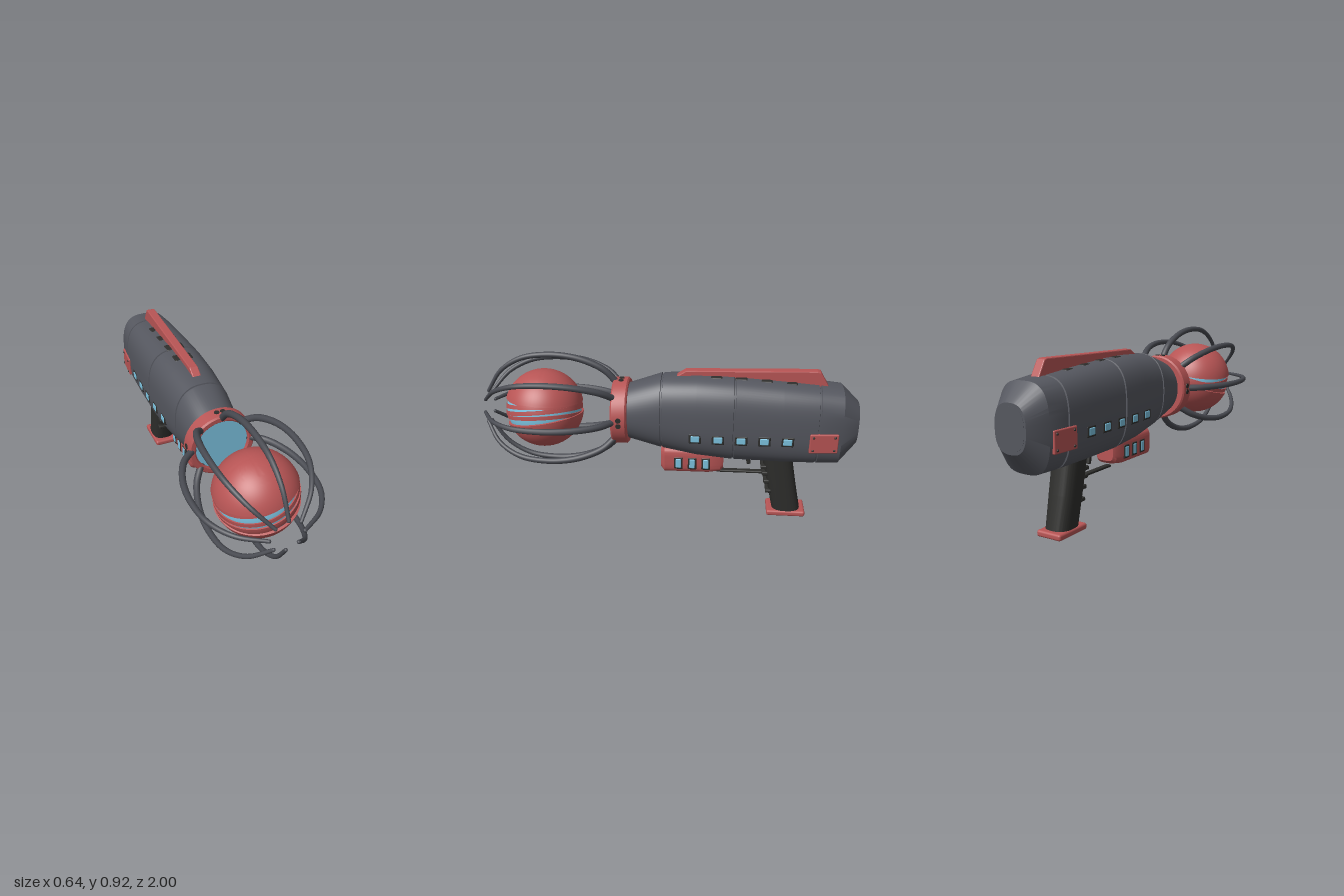
import * as THREE from 'three';
import { toCreasedNormals } from 'three/addons/utils/BufferGeometryUtils.js';
import { RoundedBoxGeometry } from 'three/addons/geometries/RoundedBoxGeometry.js';

const mat = (color) => new THREE.MeshStandardMaterial({ color });
const RED = mat(0xb85555), BODY = mat(0x55575f), CAGE = mat(0x484a51);
const DARK = mat(0x2e2e2c), CYAN = mat(0x7cc3e0);
const rad = THREE.MathUtils.degToRad;
const AXIS = 0.6; // height of the barrel axis

// Body stations: z, top, bottom, half width, roundness exponent
const STATIONS = [
  [0.24, 0.745, 0.455, 0.138, 2], [0.045, 0.81, 0.405, 0.155, 2.4],
  [-0.15, 0.822, 0.372, 0.165, 2.7], [-0.34, 0.82, 0.355, 0.17, 2.8],
  [-0.6, 0.803, 0.35, 0.165, 2.9], [-0.78, 0.788, 0.35, 0.157, 3],
  [-0.91, 0.775, 0.352, 0.146, 3], [-1, 0.69, 0.46, 0.09, 2.6],
];

function stationAt(z) {
  let i = 0;
  while (i < STATIONS.length - 2 && STATIONS[i + 1][0] > z) i++;
  const a = STATIONS[i], b = STATIONS[i + 1], t = (z - a[0]) / (b[0] - a[0]);
  return a.map((v, k) => v + (b[k] - v) * t);
}

// Half width of the body at a given height and depth
function bodyX(y, z) {
  const [, top, bottom, w, n] = stationAt(z);
  const v = Math.abs(y - (top + bottom) / 2) / ((top - bottom) / 2);
  return w * Math.pow(Math.max(0, 1 - Math.pow(v, n)), 1 / n);
}

// Closed loft through superellipse sections, stations running from +z to -z
function loft(stations, sides = 72) {
  const pos = [], idx = [], last = stations.length - 1;
  for (const [z, top, bottom, w, n] of stations) {
    for (let j = 0; j < sides; j++) {
      const a = (j / sides) * Math.PI * 2, c = Math.cos(a), s = Math.sin(a);
      const p = (v) => Math.sign(v) * Math.pow(Math.abs(v), 2 / n);
      pos.push(w * p(c), (top + bottom) / 2 + ((top - bottom) / 2) * p(s), z);
    }
  }
  for (const k of [0, last]) pos.push(0, (stations[k][1] + stations[k][2]) / 2, stations[k][0]);
  const front = (last + 1) * sides;
  for (let j = 0; j < sides; j++) {
    const k = (j + 1) % sides;
    for (let i = 0; i < last; i++) {
      const a = i * sides + j, b = i * sides + k;
      idx.push(a, a + sides, b, b, a + sides, b + sides);
    }
    idx.push(front, j, k, front + 1, last * sides + k, last * sides + j);
  }
  const g = new THREE.BufferGeometry();
  g.setAttribute('position', new THREE.Float32BufferAttribute(pos, 3));
  g.setIndex(idx);
  return toCreasedNormals(g, 0.5);
}

// Thick band of a sphere between two latitudes, with inward lips
function shell(r, lat0, lat1) {
  const pts = [], steps = 24;
  const at = (R, lat) => new THREE.Vector2(Math.max(0, R * Math.cos(rad(lat))), R * Math.sin(rad(lat)));
  if (lat0 > -90) pts.push(at(r * 0.92, lat0));
  for (let i = 0; i <= steps; i++) pts.push(at(r, lat0 + ((lat1 - lat0) * i) / steps));
  if (lat1 < 90) pts.push(at(r * 0.92, lat1));
  return toCreasedNormals(new THREE.LatheGeometry(pts, 64), 0.6);
}

export function createModel() {
  const model = new THREE.Group();
  const add = (name, geo, material, x = 0, y = 0, z = 0, parent = model) => {
    const m = new THREE.Mesh(geo, material);
    m.name = name;
    m.position.set(x, y, z);
    parent.add(m);
    return m;
  };
  const box = (w, h, d, r = 0.008) => new RoundedBoxGeometry(w, h, d, 3, r);

  // Main body with seam grooves around it
  const rings = STATIONS.slice();
  for (const z of [0.035, -0.35, -0.79]) {
    [[0.006, 0], [0.004, 0.006], [-0.004, 0.006], [-0.006, 0]].forEach(([dz, dip]) => {
      const [a, t, b, w, n] = stationAt(z + dz);
      rings.push([a, t - dip, b + dip, w - dip, n]);
    });
  }
  rings.sort((a, b) => b[0] - a[0]);
  add('body', loft(rings), BODY);
  add('rearPlate', loft([[-0.99, 0.675, 0.475, 0.08, 2.6], [-1, 0.675, 0.475, 0.08, 2.6]]), BODY, 0, 0, -0.001);

  // Top rail and the vents beneath it
  const rail = new THREE.Shape();
  [[0.035, 0.79], [0.04, 0.808], [0.09, 0.84], [0.77, 0.856], [0.785, 0.852], [0.832, 0.775]]
    .forEach(([z, y], i) => (i ? rail.lineTo(z, y) : rail.moveTo(z, y)));
  const railGeo = new THREE.ExtrudeGeometry(rail, {
    depth: 0.038, bevelEnabled: true, bevelSize: 0.005, bevelThickness: 0.005, bevelSegments: 2,
  });
  railGeo.translate(0, 0, -0.019).rotateY(Math.PI / 2);
  add('topRail', railGeo, RED);
  for (const z of [-0.25, -0.38, -0.51, -0.64]) {
    add('topVent', box(0.108, 0.02, 0.066, 0.0099), DARK, 0, stationAt(z)[1] - 0.009, z);
  }

  // Side windows and riveted plates
  for (const s of [1, -1]) {
    for (let i = 0; i < 5; i++) {
      const z = -0.147 - i * 0.121, x = bodyX(0.517, z);
      add('windowFrame', box(0.012, 0.054, 0.066, 0.005), DARK, s * (x - 0.003), 0.517, z);
      add('window', box(0.014, 0.038, 0.048, 0.006), CYAN, s * (x - 0.001), 0.517, z);
    }
    const plate = new THREE.Group();
    plate.name = 'sidePlate';
    plate.position.set(s * 0.15, 0.512, -0.818);
    plate.rotation.y = s * 0.08;
    model.add(plate);
    add('plate', box(0.024, 0.108, 0.15, 0.006), RED, 0, 0, 0, plate);
    for (const dy of [-0.037, 0.037]) for (const dz of [-0.056, 0.056]) {
      add('rivet', new THREE.SphereGeometry(0.007, 12, 8), DARK, s * 0.011, dy, dz, plate);
    }
  }

  // Collar with emitter disc and screws
  const collarPts = [[0.14, 0.215], [0.172, 0.215], [0.18, 0.223], [0.18, 0.292], [0.172, 0.3],
    [0.15, 0.3], [0.143, 0.293], [0.14, 0.215]].map(([r, y]) => new THREE.Vector2(r, y));
  const collar = toCreasedNormals(new THREE.LatheGeometry(collarPts, 64).rotateX(Math.PI / 2), 0.5);
  add('collar', collar, RED, 0, AXIS);
  add('emitterDisc', new THREE.CylinderGeometry(0.143, 0.143, 0.05, 48).rotateX(Math.PI / 2), CYAN, 0, AXIS, 0.262);
  for (let i = 0; i < 4; i++) {
    const screw = new THREE.Group();
    screw.name = 'collarScrews';
    screw.position.set(0, AXIS, 0.256);
    screw.rotation.z = (i * Math.PI) / 2;
    model.add(screw);
    for (const dx of [-0.016, 0.016]) {
      add('screw', new THREE.CylinderGeometry(0.014, 0.014, 0.012, 20), DARK, dx, 0.176, 0, screw);
    }
  }

  // Cage of eight tapering prongs
  const path = new THREE.CatmullRomCurve3([[0.15, 0.275], [0.222, 0.34], [0.262, 0.41], [0.294, 0.51],
    [0.306, 0.64], [0.284, 0.79], [0.21, 0.91], [0.088, 0.992]].map(([r, z]) => new THREE.Vector3(r, 0, z)));
  const SEG = 48, SIDES = 10;
  const prong = new THREE.TubeGeometry(path, SEG, 0.018, SIDES);
  const p = prong.attributes.position, v = new THREE.Vector3();
  for (let i = 0; i < p.count; i++) {
    const t = Math.floor(i / (SIDES + 1)) / SEG, c = path.getPointAt(t);
    v.fromBufferAttribute(p, i).sub(c).multiplyScalar(1 - 0.5 * t * t).add(c);
    p.setXYZ(i, v.x, v.y, v.z);
  }
  for (let i = 0; i < 8; i++) {
    add('cageProng', prong, CAGE, 0, AXIS).rotation.z = (i * Math.PI) / 4;
    const tip = add('prongTip', new THREE.SphereGeometry(0.0092, 10, 8), CAGE);
    const a = (i * Math.PI) / 4;
    tip.position.set(0.088 * Math.cos(a), AXIS + 0.088 * Math.sin(a), 0.991);
  }

  // Orb: glowing core wrapped in tilted shells and bands
  const orb = new THREE.Group();
  orb.name = 'orb';
  orb.position.set(0, AXIS, 0.686);
  model.add(orb);
  add('orbCore', new THREE.SphereGeometry(0.201, 48, 32), CYAN, 0, 0, 0, orb);
  [['upperShell', 0.213, 14, 90, -3, 10], ['lowerShell', 0.213, -90, -13, 9, 10],
    ['orbBand', 0.207, 3, 9, 3, 17], ['orbBand', 0.208, -5, 1, 6, 17],
    ['orbBand', 0.206, -13, -7.5, 4, 17], ['orbBand', 0.205, 8, 13, -6, 13],
  ].forEach(([name, r, lat0, lat1, rx, rz]) => {
    add(name, shell(r, lat0, lat1), RED, 0, 0, 0, orb).rotation.set(rad(rx), 0, rad(rz));
  });

  // Foregrip with small windows
  add('foregrip', loft([[0.042, 0.395, 0.275, 0.056, 4], [0.022, 0.41, 0.254, 0.075, 4],
    [-0.22, 0.41, 0.254, 0.073, 4], [-0.285, 0.4, 0.264, 0.064, 4], [-0.302, 0.385, 0.28, 0.052, 4]]), RED);
  add('foregripStud', box(0.035, 0.03, 0.045), DARK, 0, 0.256, -0.042);
  for (const s of [1, -1]) for (const z of [-0.056, -0.131, -0.206]) {
    add('foregripWindowFrame', box(0.012, 0.072, 0.048, 0.005), DARK, s * 0.071, 0.32, z);
    add('foregripWindow', box(0.014, 0.056, 0.032, 0.006), CYAN, s * 0.073, 0.32, z);
  }

  // Trigger, with the guard rod below it
  add('guardRod', box(0.03, 0.014, 0.27, 0.005), DARK, 0, 0.247, -0.4);
  add('trigger', box(0.022, 0.075, 0.022, 0.006), DARK, 0, 0.332, -0.437).rotation.x = 0.2;

  // Raked grip, finger ridges and base
  const grip = loft([[0.39, 0.672, 0.505, 0.073, 2.8], [0.2, 0.708, 0.548, 0.071, 2.8],
    [0.02, 0.745, 0.588, 0.066, 2.8]]).rotateX(-Math.PI / 2);
  add('grip', grip, DARK);
  for (const y of [0.3, 0.26, 0.209, 0.149]) {
    add('gripRidge', box(0.108, 0.021, 0.034, 0.006), DARK, 0, y, -0.505 - (0.39 - y) * 0.224);
  }
  add('gripBase', box(0.144, 0.033, 0.215, 0.012), RED, 0, 0.0165, -0.663);

  return model;
}
